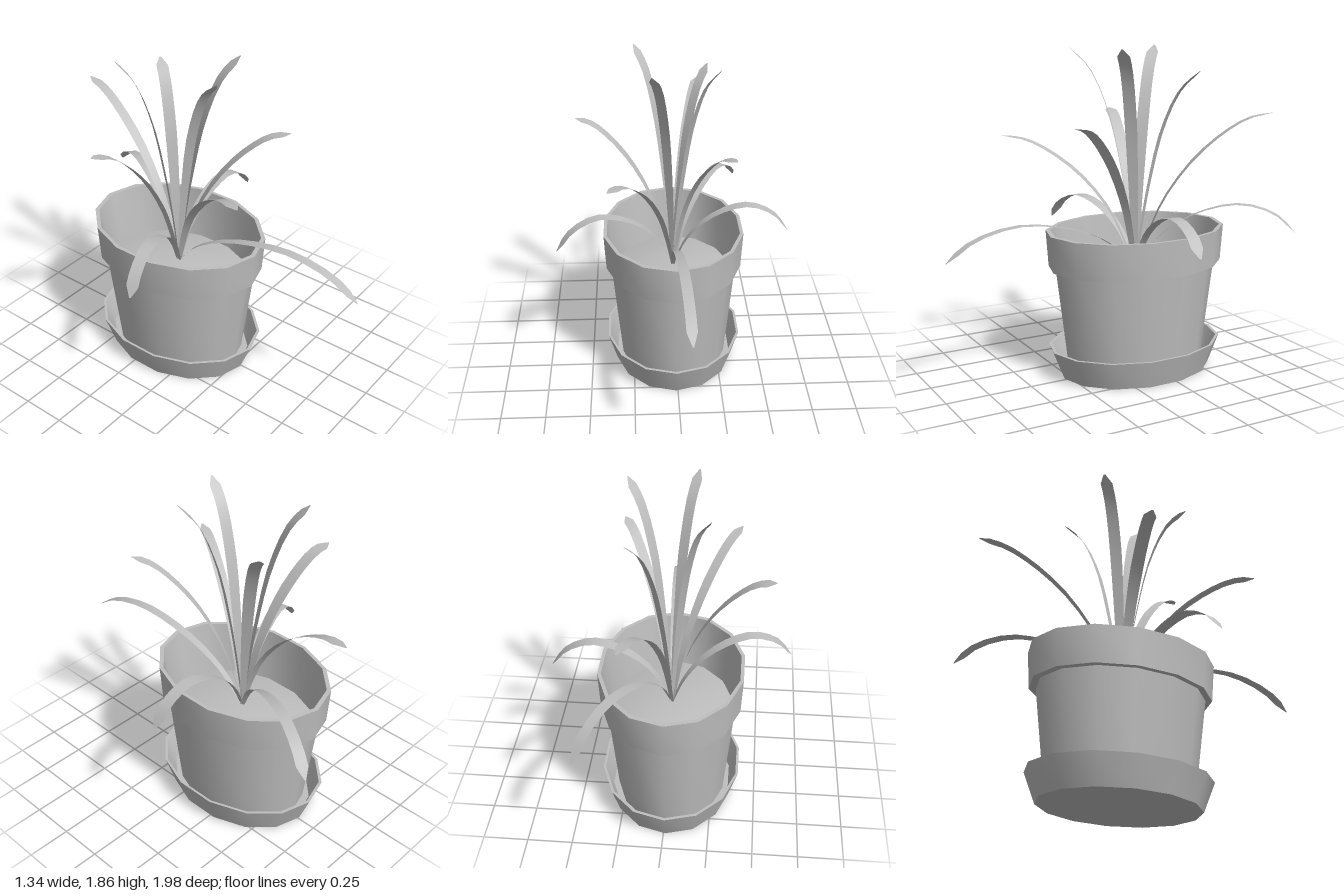
import * as THREE from 'three';
import { toCreasedNormals } from 'three/addons/utils/BufferGeometryUtils.js';

const STRETCH = 1.31; // the pot is oval, deeper than it is wide
const CENTRE = { x: -0.01, z: -0.175 };
const SOIL_Y = 0.58;

const clay = new THREE.MeshStandardMaterial({ color: 0xbebebe, side: THREE.DoubleSide });
clay.name = 'plain grey';

// Oval turned part from a [radius, height] profile
function turned(name, profile) {
  const points = profile.map(([r, y]) => new THREE.Vector2(r, y));
  const geo = new THREE.LatheGeometry(points, 14);
  geo.scale(1, 1, STRETCH);
  const mesh = new THREE.Mesh(toCreasedNormals(geo, 0.75), clay);
  mesh.name = name;
  mesh.position.set(CENTRE.x, 0, CENTRE.z);
  return mesh;
}

// Leaf arcs as [reach, rise], both relative to the leaf's own size
const ARCS = {
  upright: [[0, 0], [0.09, 0.22], [0.22, 0.46], [0.42, 0.72], [0.7, 0.91], [1, 1]],
  arching: [[0, 0], [0.09, 0.24], [0.2, 0.46], [0.4, 0.7], [0.62, 0.87], [0.82, 0.97], [1, 1]],
  drooping: [[0, 0], [0.1, 0.4], [0.24, 0.7], [0.44, 0.92], [0.66, 1], [0.87, 0.85], [1, 0.57]],
};

// Flat ribbon leaf bent along its arc, ending at (x, z) and peaking at the given height
function leaf(arc, x, peak, z) {
  const dx = x - CENTRE.x, dz = z - CENTRE.z;
  const curve = new THREE.CatmullRomCurve3(ARCS[arc].map(([reach, rise]) =>
    new THREE.Vector3(CENTRE.x + dx * reach, SOIL_Y + (peak - SOIL_Y) * rise, CENTRE.z + dz * reach)));
  const length = Math.hypot(dx, dz / STRETCH);
  const sideX = -dz / STRETCH / length, sideZ = (dx / length) * STRETCH;

  const geo = new THREE.PlaneGeometry(1, 1, 1, 14);
  const pos = geo.attributes.position;
  for (let i = 0; i < pos.count; i++) {
    const t = pos.getY(i) + 0.5;
    const grow = Math.min(1, 0.4 + t * 1.1);
    const taper = t > 0.99 ? 0.12 : 1;
    const offset = pos.getX(i) * 0.056 * grow * taper;
    const p = curve.getPoint(t);
    pos.setXYZ(i, p.x + sideX * offset, p.y, p.z + sideZ * offset);
  }
  geo.computeVertexNormals();
  const mesh = new THREE.Mesh(geo, clay);
  mesh.name = arc + 'Leaf';
  return mesh;
}

export function createModel() {
  const model = new THREE.Group();
  model.name = 'pottedPlant';

  // Saucer: shallow hollow tray
  model.add(turned('saucer', [
    [0, 0], [0.352, 0], [0.402, 0.165], [0.388, 0.165], [0.345, 0.03], [0, 0.03],
  ]));

  // Pot: tapered body with a wide collar, hollow inside
  model.add(turned('pot', [
    [0, 0.03], [0.313, 0.03], [0.326, 0.165], [0.37, 0.63], [0.4, 0.63], [0.412, 0.84],
    [0.392, 0.84], [0.365, 0.63], [0.345, 0.45],
  ]));

  // Soil: low mound
  model.add(turned('soil', [[0.355, 0.53], [0.24, 0.565], [0.12, 0.585], [0, 0.59]]));

  // Leaves in three tiers: type, tip x, peak height, tip z
  const leaves = new THREE.Group();
  leaves.name = 'leaves';
  [
    ['upright', -0.22, 1.86, -0.42],
    ['upright', -0.13, 1.86, 0.18],
    ['upright', 0.24, 1.86, 0.06],
    ['upright', 0.2, 1.73, -0.46],
    ['arching', 0.175, 1.47, -0.99],
    ['arching', 0.3, 1.47, 0.36],
    ['arching', -0.555, 1.47, -0.3],
    ['arching', -0.365, 1.37, 0.49],
    ['drooping', 0.42, 0.97, -0.99],
    ['drooping', -0.675, 0.97, 0.035],
    ['drooping', 0.665, 0.97, -0.17],
    ['drooping', 0.04, 0.93, 0.99],
  ].forEach((args) => leaves.add(leaf(...args)));
  model.add(leaves);

  return model;
}
